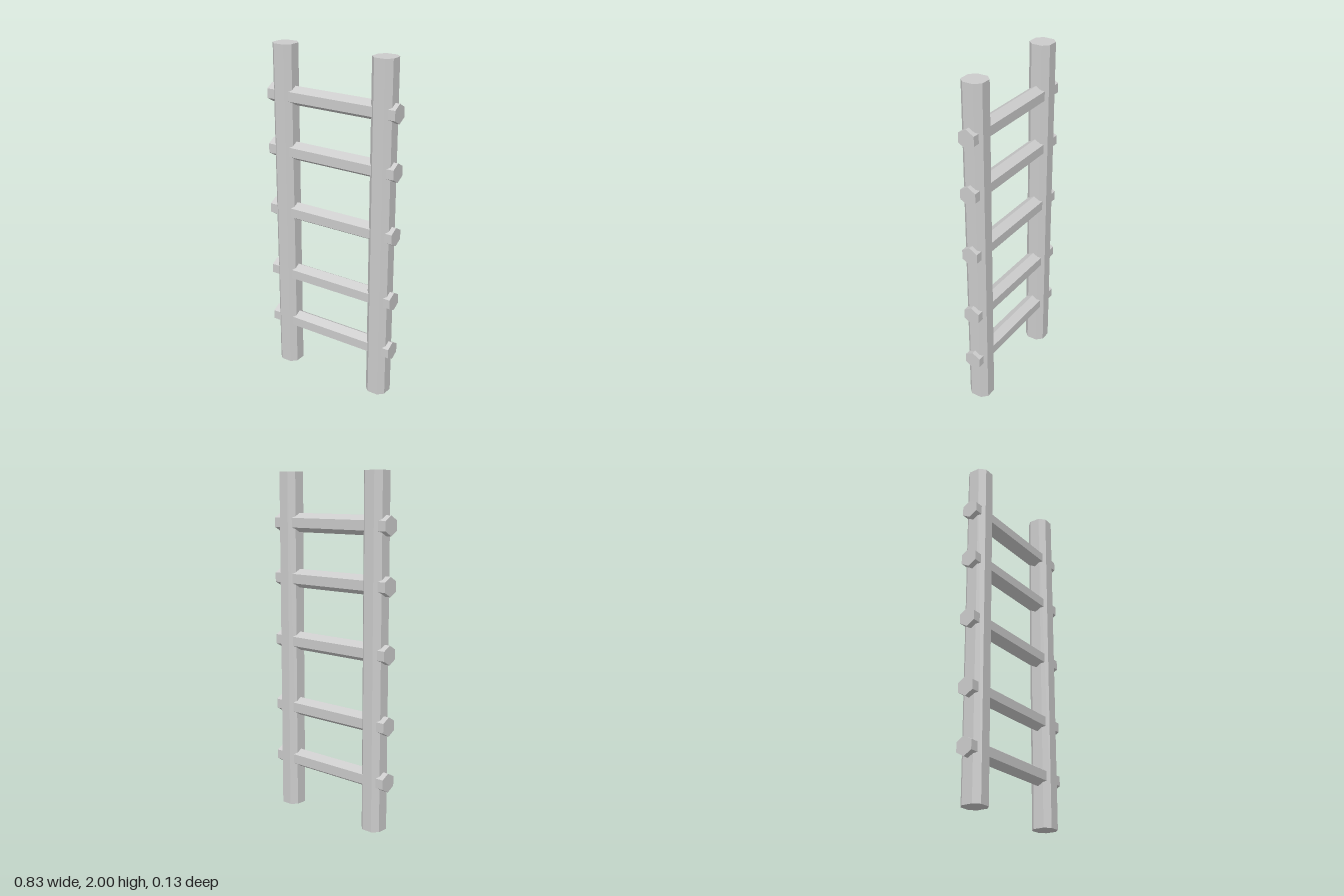
import * as THREE from 'three';

export function createModel() {
  const ladder = new THREE.Group();
  ladder.name = 'ladder';
  const material = new THREE.MeshStandardMaterial({ color: 0xcccccc, flatShading: true });

  // Upright rails: square posts with chamfered corners
  const h = 0.064, c = 0.032;
  const section = new THREE.Shape([
    [h, -c], [h, c], [c, h], [-c, h], [-h, c], [-h, -c], [-c, -h], [c, -h],
  ].map(([x, y]) => new THREE.Vector2(x, y)));
  const railGeometry = new THREE.ExtrudeGeometry(section, { depth: 2, bevelEnabled: false });
  railGeometry.rotateX(-Math.PI / 2);
  for (const [name, x] of [['rightRail', -0.317], ['leftRail', 0.325]]) {
    const rail = new THREE.Mesh(railGeometry, material);
    rail.name = name;
    rail.position.x = x;
    ladder.add(rail);
  }

  // Hexagonal rungs, edge up, passing through both rails at uneven heights
  const rungGeometry = new THREE.CylinderGeometry(0.055, 0.055, 0.832, 6);
  rungGeometry.rotateY(Math.PI / 2).rotateZ(Math.PI / 2);
  [0.291, 0.615, 1.016, 1.388, 1.711].forEach((y, i) => {
    const rung = new THREE.Mesh(rungGeometry, material);
    rung.name = `rung${i + 1}`;
    rung.position.y = y;
    ladder.add(rung);
  });

  return ladder;
}
